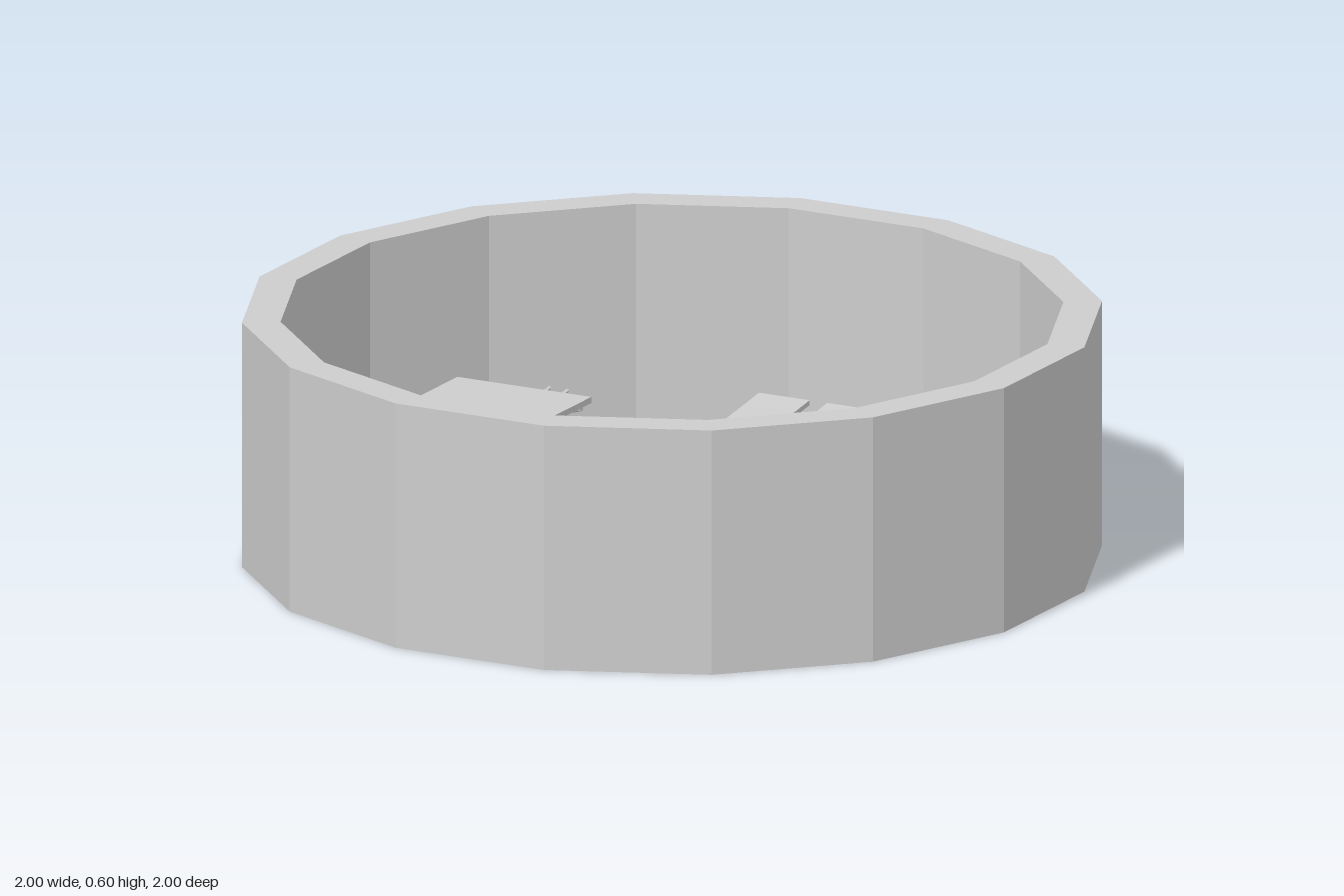
import * as THREE from 'three';

const grey = new THREE.MeshStandardMaterial({ color: 0xcccccc, flatShading: true });
grey.name = 'plain grey';

const HEIGHT = 0.6;
const SIDES = 16;

function part(name, geometry) {
  const mesh = new THREE.Mesh(geometry, grey);
  mesh.name = name;
  return mesh;
}

// Points of a regular polygon with flat sides facing the axes
function polygon(radius) {
  return Array.from({ length: SIDES }, (_, i) => {
    const a = ((i + 0.5) / SIDES) * Math.PI * 2;
    return new THREE.Vector2(radius * Math.cos(a), radius * Math.sin(a));
  });
}

function createRing() {
  const shape = new THREE.Shape(polygon(1.0196));
  shape.holes.push(new THREE.Path(polygon(0.928)));
  const geo = new THREE.ExtrudeGeometry(shape, { depth: HEIGHT, bevelEnabled: false });
  geo.rotateX(-Math.PI / 2);
  return part('ring', geo);
}

// Shelf between the inner wall and z = 0.73
function createPlate(name, y0, y1) {
  const geo = new THREE.BoxGeometry(0.36, y1 - y0, 0.182);
  geo.translate(0, (y0 + y1) / 2, 0.821);
  return part(name, geo);
}

// Bent flat strip: side profile [z, y] swept across its width
function createStrip(name, xMin, xMax, profile) {
  const t = 0.012;
  const top = new THREE.SplineCurve(profile.map(([z, y]) => new THREE.Vector2(z, y))).getPoints(18);
  const bottom = top.map((p) => new THREE.Vector2(p.x, p.y - t)).reverse();
  const geo = new THREE.ExtrudeGeometry(new THREE.Shape([...top, ...bottom]), {
    depth: xMax - xMin, bevelEnabled: false,
  });
  geo.rotateY(-Math.PI / 2);
  geo.translate(xMax, 0, 0);
  return part(name, geo);
}

// Square coil spring, four straight runs per turn
function createSpring(x, z, y0, y1) {
  const turns = 11, half = 0.02;
  const corners = [[-1, -1], [1, -1], [1, 1], [-1, 1]];
  const path = new THREE.CurvePath();
  const point = (i) => {
    const [cx, cz] = corners[i % 4];
    return new THREE.Vector3(x + cx * half, y0 + ((y1 - y0) * i) / (turns * 4), z + cz * half);
  };
  for (let i = 0; i < turns * 4; i++) path.add(new THREE.LineCurve3(point(i), point(i + 1)));
  return part('spring', new THREE.TubeGeometry(path, turns * 8, 0.005, 4, false));
}

export function createModel() {
  const model = new THREE.Group();
  model.name = 'ringMechanism';

  model.add(createRing());
  model.add(createPlate('topPlate', HEIGHT - 0.015, HEIGHT));
  model.add(createPlate('bottomPlate', 0, 0.018));

  // Lower strip, ending just above the bottom plate
  model.add(createStrip('lowerStrip', -0.163, -0.027, [
    [-0.73, 0.195], [-0.5, 0.165], [-0.3, 0.153], [-0.1, 0.142],
    [0.1, 0.115], [0.3, 0.09], [0.5, 0.082], [0.73, 0.092],
  ]));

  // Rising strip, ending at the springs
  model.add(createStrip('risingStrip', 0.02, 0.155, [
    [-0.73, 0.195], [-0.5, 0.165], [-0.3, 0.172], [-0.1, 0.22],
    [0.1, 0.262], [0.3, 0.307], [0.5, 0.355], [0.68, 0.4],
  ]));

  // Pair of springs hanging from the edge of the top plate
  for (const x of [0.062, 0.11]) model.add(createSpring(x, 0.702, 0.335, 0.592));

  return model;
}
